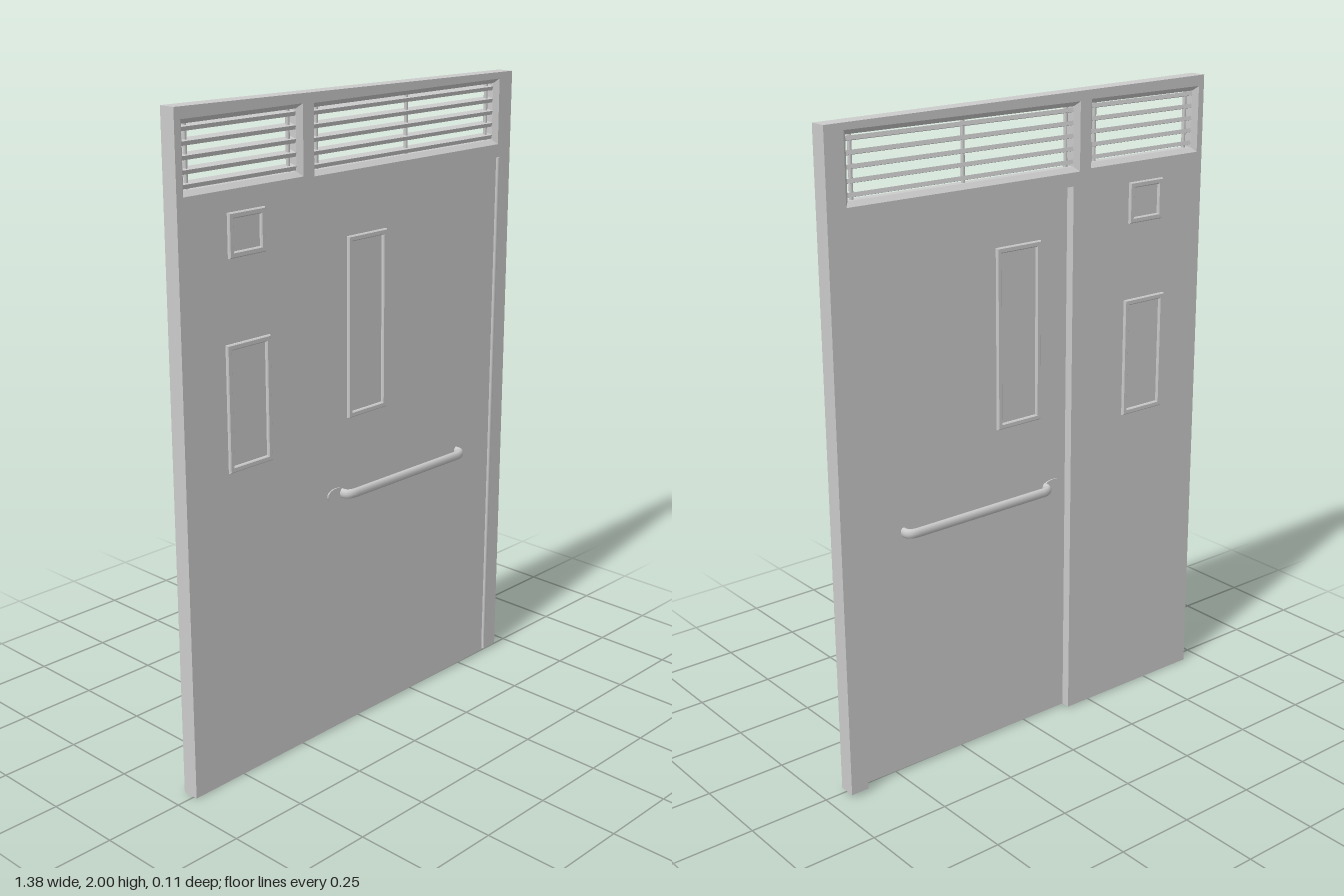
import * as THREE from 'three';

const FRONT = 0.012, BACK = -0.041, LEAF_BACK = -0.013;

export function createModel() {
  const model = new THREE.Group();
  const material = new THREE.MeshStandardMaterial({ color: 0xcccccc });

  function add(name, geometry, x = 0, y = 0, z = 0, parent = model) {
    const mesh = new THREE.Mesh(geometry, material);
    mesh.name = name;
    mesh.position.set(x, y, z);
    parent.add(mesh);
    return mesh;
  }
  const points = (list) => list.map(([x, y]) => new THREE.Vector2(x, y));
  const rect = (x0, x1, y0, y1, m = 0) =>
    points([[x0 - m, y0 - m], [x1 + m, y0 - m], [x1 + m, y1 + m], [x0 - m, y1 + m]]);
  function plate(outline, holes, depth, bevel) {
    const shape = new THREE.Shape(outline);
    holes.forEach((h) => shape.holes.push(new THREE.Path(h)));
    return new THREE.ExtrudeGeometry(shape, { depth, bevelEnabled: false, ...bevel });
  }

  // Wall: fixed panel, header and post around the doorway, slightly out of square
  const vents = [
    { x0: -0.65, x1: -0.24, y0: 1.78, y1: 1.953, rods: [-0.63, -0.26] },
    { x0: -0.17, x1: 0.615, y0: 1.775, y1: 1.95, rods: [-0.15, 0.225, 0.595] },
  ];
  const wall = points([[-0.69, 0], [-0.16, 0.004], [-0.16, 1.72], [0.635, 1.72],
    [0.626, 0.01], [0.685, 0.01], [0.69, 1.983], [-0.685, 2]]);
  add('wall', plate(wall, vents.map((v) => rect(v.x0, v.x1, v.y0, v.y1, 0.018)), FRONT - BACK), 0, 0, BACK);

  // Louvred vents with sloped surrounds
  for (const v of vents) {
    const vent = new THREE.Group();
    vent.name = 'vent';
    model.add(vent);
    const bevel = 0.014;
    add('ventSurround', plate(
      rect(v.x0, v.x1, v.y0, v.y1, 0.018), [rect(v.x0, v.x1, v.y0, v.y1, bevel)],
      FRONT - BACK - 2 * bevel,
      { bevelEnabled: true, bevelSize: bevel, bevelThickness: bevel, bevelSegments: 1 },
    ), 0, 0, BACK + bevel, vent);
    const middle = (FRONT + BACK) / 2;
    for (let i = 0; i < 5; i++) {
      const slat = add('slat', new THREE.BoxGeometry(v.x1 - v.x0 + 0.01, 0.012, 0.024),
        (v.x0 + v.x1) / 2, v.y0 + 0.012 + i * 0.0375, middle, vent);
      slat.rotation.x = 0.25;
    }
    for (const x of v.rods) {
      add('ventRod', new THREE.CylinderGeometry(0.006, 0.006, v.y1 - v.y0 + 0.01, 8),
        x, (v.y0 + v.y1) / 2, middle, vent);
    }
  }

  // Door leaf, flush at the front and recessed at the back
  const leaf = points([[-0.16, 0.004], [0.614, 0.01], [0.624, 1.72], [-0.16, 1.72]]);
  add('doorLeaf', plate(leaf, [], FRONT - LEAF_BACK), 0, 0, LEAF_BACK);

  // Long hinge beside the post
  const hinge = add('hinge', new THREE.CylinderGeometry(0.007, 0.007, 1.66, 8), 0.625, 0.89, FRONT);
  hinge.rotation.z = -0.005;

  // Window frames on both faces
  const windows = [
    ['smallWindow', -0.515, -0.38, 1.58, 1.705, BACK],
    ['panelWindow', -0.532, -0.368, 0.97, 1.342, BACK],
    ['doorWindow', -0.055, 0.11, 1.02, 1.572, LEAF_BACK],
  ];
  for (const [name, x0, x1, y0, y1, back] of windows) {
    const bevel = { bevelEnabled: true, bevelSize: 0.003, bevelThickness: 0.003, bevelSegments: 1 };
    const ring = plate(rect(x0, x1, y0, y1, -0.003), [rect(x0, x1, y0, y1, -0.014)], 0.006, bevel);
    add(name + 'FrontFrame', ring, 0, 0, FRONT + 0.001);
    add(name + 'BackFrame', ring, 0, 0, back - 0.007);
  }

  // Pull bars with curved ends, and the end plate on each face
  for (const [side, face, dir] of [['front', FRONT, 1], ['back', LEAF_BACK, -1]]) {
    const out = dir * 0.043;
    const path = new THREE.CurvePath();
    const v3 = (x, z) => new THREE.Vector3(x, 0, z);
    const bend = out - dir * 0.022;
    path.add(new THREE.LineCurve3(v3(-0.08, face - dir * 0.004), v3(-0.08, bend)));
    path.add(new THREE.QuadraticBezierCurve3(v3(-0.08, bend), v3(-0.08, out), v3(-0.045, out)));
    path.add(new THREE.LineCurve3(v3(-0.045, out), v3(0.42, out)));
    path.add(new THREE.QuadraticBezierCurve3(v3(0.42, out), v3(0.455, out), v3(0.455, bend)));
    path.add(new THREE.LineCurve3(v3(0.455, bend), v3(0.455, face - dir * 0.004)));
    const bar = add(side + 'PullBar', new THREE.TubeGeometry(path, 120, 0.01, 12), 0, 0.787, 0);
    bar.scale.y = 1.5;
    bar.rotation.z = -0.006;
    const end = add(side + 'EndPlate', new THREE.CylinderGeometry(0.02, 0.02, 0.008, 20), -0.107, 0.789, face);
    end.rotation.x = Math.PI / 2;
    end.scale.x = 1.7;
  }
  return model;
}
